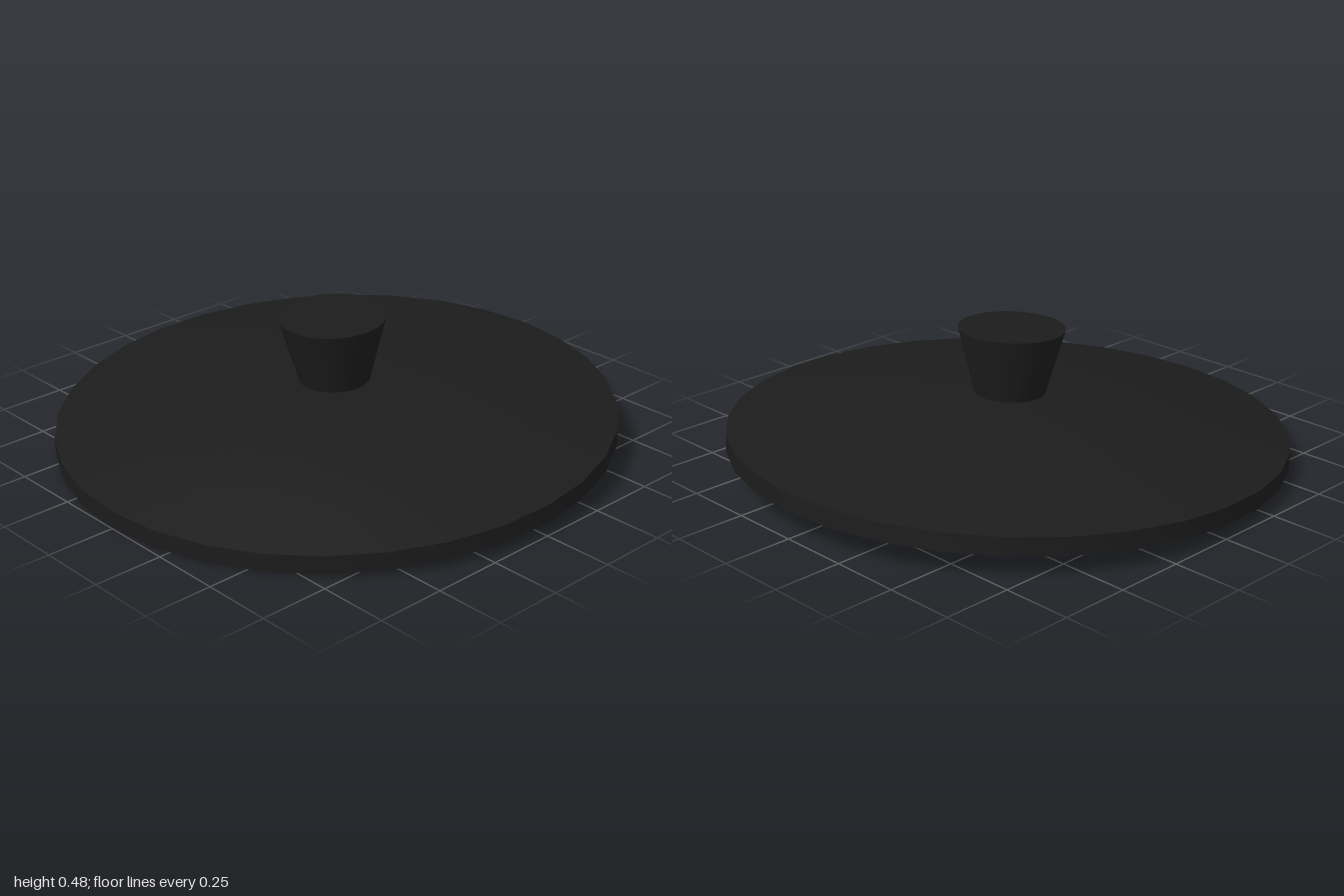
import * as THREE from 'three';
import { toCreasedNormals } from 'three/addons/utils/BufferGeometryUtils.js';

const SIDES = 32;

export function createModel() {
  const material = new THREE.MeshStandardMaterial({ color: 0x1c1c1c });

  // Turned part from a profile of [radius, height] points, run from bottom to top
  const turned = (name, profile) => {
    const points = profile.map(([r, y]) => new THREE.Vector2(r, y));
    const geometry = toCreasedNormals(new THREE.LatheGeometry(points, SIDES), 0.5);
    const mesh = new THREE.Mesh(geometry, material);
    mesh.name = name;
    return mesh;
  };

  const lid = new THREE.Group();
  lid.name = 'lid';

  // Shell: hollow underside, seating flange, groove, rim wall, then the domed top
  lid.add(turned('lidShell', [
    [0, 0.15], [0.4, 0.13], [0.7, 0.08], [0.85, 0.02],
    [0.87, 0.02], [0.88, 0.05], [0.95, 0.05], [0.96, 0],
    [0.998, 0], [0.998, 0.065],
    [0.71, 0.125], [0.4, 0.171], [0.13, 0.19], [0, 0.193],
  ]));

  // Flared knob with a flat top
  lid.add(turned('knob', [[0, 0.17], [0.122, 0.17], [0.19, 0.426], [0, 0.426]]));

  // The lid rests slightly tilted, its right edge on the ground
  lid.rotation.z = 0.0475;
  lid.position.y = 0.048;

  const model = new THREE.Group();
  model.name = 'potLid';
  model.add(lid);
  return model;
}
